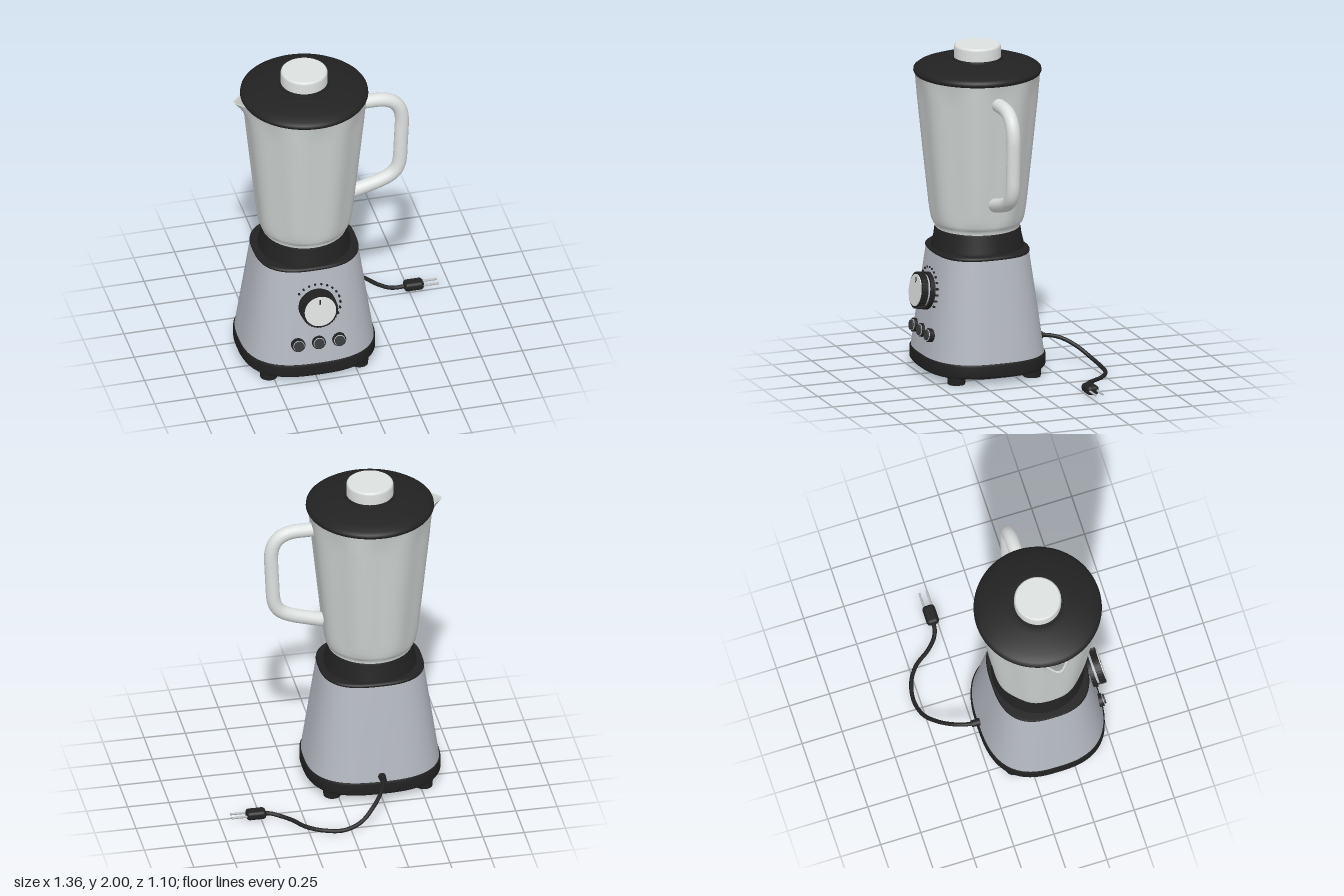
import * as THREE from 'three';
import { RoundedBoxGeometry } from 'three/addons/geometries/RoundedBoxGeometry.js';

const CX = -0.245, CZ = 0.14;

const mat = (name, color) => {
  const m = new THREE.MeshStandardMaterial({ color });
  m.name = name;
  return m;
};

// Skin a stack of closed rings; repeating a row gives a sharp edge.
function loft(rows, point, n = 128) {
  const pos = [], idx = [];
  rows.forEach((row) => {
    for (let i = 0; i < n; i++) pos.push(...point(row, (i / n) * Math.PI * 2));
  });
  for (let r = 0; r < rows.length - 1; r++) {
    for (let i = 0; i < n; i++) {
      const a = r * n + i, b = r * n + ((i + 1) % n);
      idx.push(a, a + n, b, b, a + n, b + n);
    }
  }
  const g = new THREE.BufferGeometry();
  g.setAttribute('position', new THREE.Float32BufferAttribute(pos, 3));
  g.setIndex(idx);
  g.computeVertexNormals();
  return g;
}

// Row [y, half width, half depth] as a superellipse
const squircle = ([y, a, b], t) => {
  const p = (v) => Math.sign(v) * Math.pow(Math.abs(v), 2 / 2.7);
  return [a * p(Math.cos(t)), y, b * p(Math.sin(t))];
};
// Row [y, radius] as a circle
const round = ([y, r], t) => [r * Math.cos(t), y, r * Math.sin(t)];
// Row [y, radius, flute depth] as a soft octagon with a spout towards -x
const fluted = ([y, r, f], t) => {
  const s = THREE.MathUtils.clamp((y - 1.68) / 0.16, 0, 1);
  const spout = 0.062 * s * s * Math.exp(-(((t - Math.PI) / 0.13) ** 2));
  const R = r - f * (0.5 + 0.5 * Math.cos(8 * t)) + spout;
  return [R * Math.cos(t), y, R * Math.sin(t)];
};

export function createModel() {
  const black = mat('black plastic', 0x222222);
  const steel = mat('brushed steel', 0xb4b8c0);
  const glass = mat('jar glass', 0xcfd4d2);
  const pale = mat('pale plastic', 0xdde1df);
  const metal = mat('prong metal', 0xb5b7ba);
  const grey = mat('button grey', 0x3a3b3d);

  const model = new THREE.Group();
  model.name = 'blender';
  const body = new THREE.Group();
  body.name = 'body';
  body.position.set(CX, 0, CZ);
  model.add(body);
  const add = (parent, name, geo, m, x = 0, y = 0, z = 0) => {
    const mesh = new THREE.Mesh(geo, m);
    mesh.name = name;
    mesh.position.set(x, y, z);
    parent.add(mesh);
    return mesh;
  };

  // Motor base
  add(body, 'baseTray', loft([
    [0.04, 0, 0], [0.04, 0.385, 0.35], [0.045, 0.4, 0.365], [0.06, 0.41, 0.375],
    [0.12, 0.41, 0.375], [0.132, 0.405, 0.37], [0.132, 0.405, 0.37], [0.132, 0, 0],
  ], squircle), black);
  add(body, 'housing', loft([
    [0.13, 0.402, 0.368], [0.4, 0.363, 0.332], [0.74, 0.314, 0.285],
    [0.745, 0.31, 0.28], [0.745, 0, 0],
  ], squircle), steel);
  add(body, 'housingRim', loft([
    [0.742, 0, 0], [0.742, 0.31, 0.284], [0.742, 0.31, 0.284], [0.75, 0.315, 0.289],
    [0.758, 0.313, 0.287], [0.765, 0.303, 0.278], [0.765, 0, 0],
  ], squircle), black);
  for (const sx of [-1, 1]) for (const sz of [-1, 1]) {
    add(body, 'foot', new THREE.CylinderGeometry(0.056, 0.052, 0.05, 32), black, sx * 0.277, 0.025, sz * 0.24);
  }

  // Jar collar
  add(body, 'collar', loft([
    [0.76, 0.277], [0.78, 0.275], [0.83, 0.262], [0.875, 0.256], [0.89, 0.25], [0.89, 0.25], [0.89, 0],
  ], round), black);

  // Jar with inner wall
  add(body, 'jar', loft([
    [0.885, 0, 0], [0.885, 0.252, 0], [0.885, 0.252, 0], [0.905, 0.252, 0], [0.912, 0.265, 0.002],
    [0.935, 0.276, 0.006], [0.97, 0.283, 0.01], [1.03, 0.292, 0.012], [1.35, 0.326, 0.014],
    [1.68, 0.36, 0.014], [1.72, 0.363, 0.013], [1.76, 0.367, 0.01], [1.8, 0.37, 0.006],
    [1.825, 0.373, 0.003], [1.84, 0.375, 0.001], [1.84, 0.375, 0.001],
    [1.84, 0.362, 0.001], [1.84, 0.362, 0.001], [1.8, 0.356, 0.006], [1.7, 0.346, 0.013],
    [1.35, 0.31, 0.014], [0.95, 0.262, 0.01], [0.92, 0, 0],
  ], fluted), glass);

  // Lid and filler cap
  add(body, 'lid', loft([
    [1.825, 0], [1.825, 0.365], [1.828, 0.374], [1.84, 0.381], [1.855, 0.379], [1.868, 0.362],
    [1.885, 0.315], [1.9, 0.25], [1.91, 0.19], [1.914, 0.155], [1.914, 0],
  ], round), black);
  add(body, 'capRing', new THREE.CylinderGeometry(0.152, 0.155, 0.012, 64), black, 0, 1.916, 0);
  add(body, 'fillerCap', loft([
    [1.91, 0.14], [1.985, 0.14], [1.995, 0.137], [2, 0.13], [2, 0.13], [2, 0],
  ], round, 64), pale);

  // Handle
  const handlePath = new THREE.CurvePath();
  const v = (x, y) => new THREE.Vector3(x, y, 0);
  handlePath.add(new THREE.LineCurve3(v(0.33, 1.71), v(0.43, 1.71)));
  handlePath.add(new THREE.CubicBezierCurve3(v(0.43, 1.71), v(0.55, 1.71), v(0.6, 1.65), v(0.599, 1.53)));
  handlePath.add(new THREE.LineCurve3(v(0.599, 1.53), v(0.588, 1.29)));
  handlePath.add(new THREE.CubicBezierCurve3(v(0.588, 1.29), v(0.582, 1.18), v(0.54, 1.155), v(0.46, 1.125)));
  handlePath.add(new THREE.QuadraticBezierCurve3(v(0.46, 1.125), v(0.38, 1.1), v(0.29, 1.078)));
  add(body, 'handle', new THREE.TubeGeometry(handlePath, 80, 0.042, 20), pale);
  for (const [x, y, dx, dy] of [[0.33, 1.71, -1, 0], [0.29, 1.078, -0.97, -0.24]]) {
    const cap = add(body, 'handleEnd', new THREE.CircleGeometry(0.042, 20), pale, x, y, 0);
    cap.lookAt(CX + x + dx, y + dy, CZ);
    cap.rotation.set(0, -Math.PI / 2, 0);
  }

  // Control panel: local +z points out of the sloping front
  const panel = new THREE.Group();
  panel.name = 'controlPanel';
  panel.position.set(0, 0.51, 0.318);
  panel.rotation.x = -0.136;
  body.add(panel);
  const disc = (name, r, z0, z1, m, x = 0, y = 0, sides = 48) => {
    const d = add(panel, name, new THREE.CylinderGeometry(r, r, z1 - z0, sides), m, x, y, (z0 + z1) / 2);
    d.rotation.x = Math.PI / 2;
    return d;
  };
  disc('dialBase', 0.113, -0.02, 0.022, black);
  disc('dialNeck', 0.098, 0.02, 0.04, steel);
  disc('dialGrip', 0.107, 0.036, 0.076, black);
  disc('dialFace', 0.096, 0.07, 0.081, pale);
  for (let i = 0; i < 36; i++) {
    const a = (i / 36) * Math.PI * 2;
    const rib = add(panel, 'dialRib', new THREE.BoxGeometry(0.008, 0.007, 0.036), black, 0.107 * Math.cos(a), 0.107 * Math.sin(a), 0.056);
    rib.rotation.z = a;
  }
  add(panel, 'dialMark', new THREE.BoxGeometry(0.008, 0.03, 0.004), black, 0, 0.063, 0.082);
  for (let i = 0; i < 12; i++) {
    const a = THREE.MathUtils.degToRad(139 - i * 15.2);
    disc('speedDot', 0.0065, -0.012, 0.004, black, 0.143 * Math.cos(a), 0.143 * Math.sin(a), 12);
  }
  for (const x of [-0.125, 0, 0.125]) {
    disc('buttonRing', 0.041, -0.02, 0.014, black, x, -0.242, 32);
    disc('buttonTrim', 0.034, 0, 0.018, steel, x, -0.242, 32);
    disc('button', 0.03, 0, 0.028, grey, x, -0.242, 32);
  }

  // Power cord and plug
  const cord = new THREE.CatmullRomCurve3([
    [-0.245, 0.165, -0.22], [-0.24, 0.163, -0.29], [-0.21, 0.148, -0.37], [-0.15, 0.105, -0.45],
    [-0.06, 0.045, -0.515], [0.05, 0.015, -0.538], [0.17, 0.015, -0.515], [0.26, 0.015, -0.455],
    [0.33, 0.015, -0.36], [0.39, 0.017, -0.305], [0.44, 0.026, -0.283], [0.5, 0.033, -0.28],
  ].map((p) => new THREE.Vector3(...p)));
  add(model, 'cord', new THREE.TubeGeometry(cord, 120, 0.0125, 12), black);
  const relief = add(model, 'strainRelief', new THREE.CylinderGeometry(0.02, 0.024, 0.06, 20), black, CX, 0.165, -0.243);
  relief.rotation.x = -Math.PI / 2;
  add(model, 'plug', new RoundedBoxGeometry(0.12, 0.056, 0.076, 4, 0.022), black, 0.53, 0.033, -0.279);
  for (const z of [-0.302, -0.256]) {
    const prong = add(model, 'prong', new THREE.CylinderGeometry(0.0065, 0.0065, 0.1, 12), metal, 0.63, 0.033, z);
    prong.rotation.z = Math.PI / 2;
  }
  return model;
}
